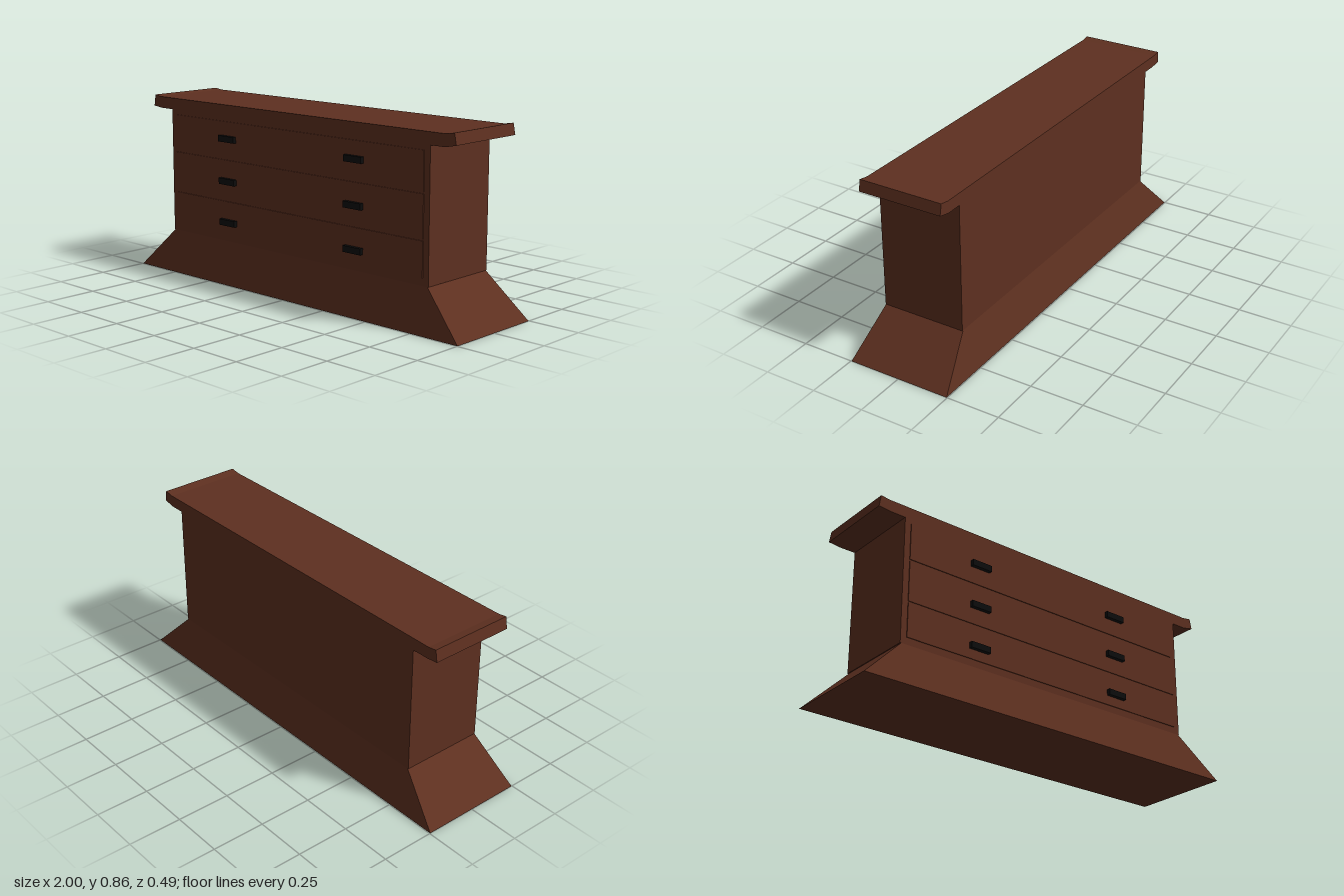
import * as THREE from 'three';

export function createModel() {
  const model = new THREE.Group();
  const wood = new THREE.MeshStandardMaterial({ color: 0x5e3020, flatShading: true });
  const black = new THREE.MeshStandardMaterial({ color: 0x0c0c0c, flatShading: true });

  const add = (name, geometry, material, x = 0, y = 0, z = 0) => {
    const mesh = new THREE.Mesh(geometry, material);
    mesh.name = name;
    mesh.position.set(x, y, z);
    model.add(mesh);
  };
  const box = (w, h, d) => new THREE.BoxGeometry(w, h, d);

  // Flared plinth: a box whose lower corners spread outwards
  const plinth = box(1.6, 0.2, 0.398);
  const p = plinth.attributes.position;
  for (let i = 0; i < p.count; i++) {
    if (p.getY(i) < 0) p.setXYZ(i, Math.sign(p.getX(i)), p.getY(i), Math.sign(p.getZ(i)) * 0.247);
  }
  plinth.computeVertexNormals();
  add('plinth', plinth, wood, 0, 0.1, 0);

  // Cabinet body
  add('body', box(1.61, 0.6, 0.398), wood, 0, 0.5, 0);

  // Table top with slightly upturned ends
  const outline = new THREE.Shape([
    [-0.88, 0.795], [0.88, 0.795], [0.937, 0.807], [0.927, 0.858],
    [0.88, 0.85], [-0.89, 0.85], [-0.931, 0.856], [-0.94, 0.801],
  ].map(([x, y]) => new THREE.Vector2(x, y)));
  const top = new THREE.ExtrudeGeometry(outline, { depth: 0.398, bevelEnabled: false });
  add('tableTop', top, wood, 0, 0, -0.199);

  // Three drawers, each with two block handles
  const drawers = [[0.233, 0.392, 0.293], [0.401, 0.59, 0.49], [0.599, 0.772, 0.692]];
  for (const [low, high, handleY] of drawers) {
    add('drawerFront', box(1.55, high - low, 0.02), wood, 0, (low + high) / 2, 0.193);
    for (const x of [-0.402, 0.393]) {
      add('drawerHandle', box(0.102, 0.029, 0.022), black, x, handleY, 0.21);
    }
  }
  return model;
}
